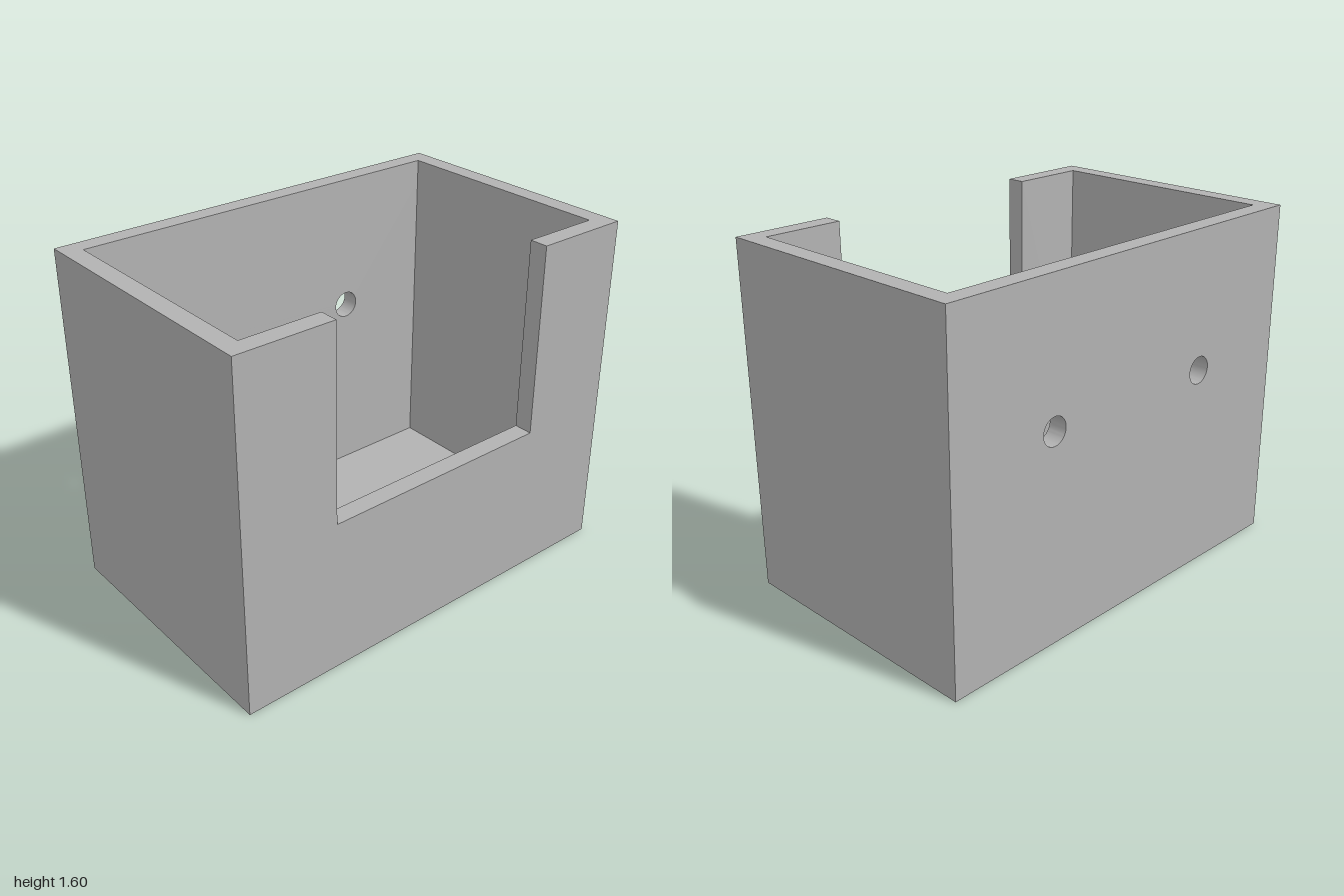
import * as THREE from 'three';
import { toCreasedNormals } from 'three/addons/utils/BufferGeometryUtils.js';

const W = 2, H = 1.595, D = 1.246, T = 0.086; // outer size and wall thickness

const rect = (path, x0, y0, x1, y1) =>
  path.moveTo(x0, y0).lineTo(x1, y0).lineTo(x1, y1).lineTo(x0, y1).closePath();

function plate(shape) {
  const g = new THREE.ExtrudeGeometry(shape, { depth: T, bevelEnabled: false, curveSegments: 24 });
  return toCreasedNormals(g, 0.6);
}

export function createModel() {
  const group = new THREE.Group();
  const grey = new THREE.MeshStandardMaterial({ color: 0xb2b2b2 });
  grey.name = 'grey';
  const add = (name, geometry) => {
    const mesh = new THREE.Mesh(geometry, grey);
    mesh.name = name;
    group.add(mesh);
  };

  // Front wall with the open notch
  const notchX = 0.549, notchY = 0.717;
  const front = new THREE.Shape([
    [-W / 2, 0], [W / 2, 0], [W / 2, H], [notchX, H],
    [notchX, notchY], [-notchX, notchY], [-notchX, H], [-W / 2, H],
  ].map(([x, y]) => new THREE.Vector2(x, y)));
  add('frontWall', plate(front).translate(0, 0, D / 2 - T));

  // Back wall with two round screw holes
  const back = new THREE.Shape();
  rect(back, -W / 2, 0, W / 2, H);
  for (const side of [-1, 1]) {
    back.holes.push(new THREE.Path().absarc(side * 0.457, 0.959, 0.063, 0, Math.PI * 2, true));
  }
  add('backWall', plate(back).translate(0, 0, -D / 2));

  // Side walls between front and back
  for (const [name, side] of [['leftWall', 1], ['rightWall', -1]]) {
    add(name, new THREE.BoxGeometry(T, H, D - 2 * T).translate(side * (W - T) / 2, H / 2, 0));
  }

  // Floor with a rectangular opening
  const fx = W / 2 - T, fz = D / 2 - T;
  const floor = new THREE.Shape();
  rect(floor, -fx, -fz, fx, fz);
  const opening = new THREE.Path();
  rect(opening, -0.292, -0.174, 0.292, 0.174);
  floor.holes.push(opening);
  add('floor', plate(floor).rotateX(-Math.PI / 2));

  return group;
}
